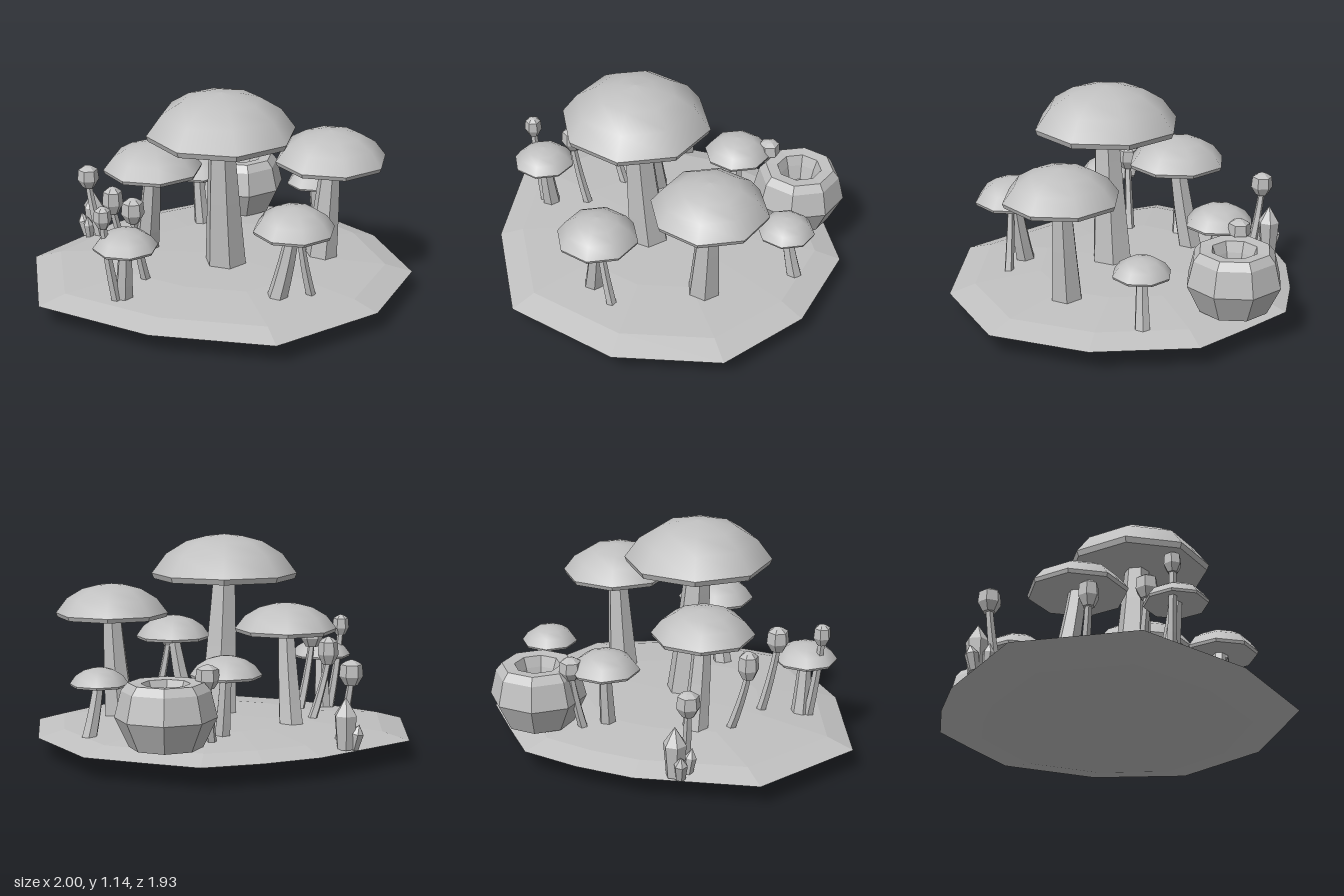
import * as THREE from 'three';

const stone = new THREE.MeshStandardMaterial({ color: 0xc0c0c0 });
stone.name = 'pale grey';

const V = (x, y, z) => new THREE.Vector3(x, y, z);

function flat(geometry) {
  const g = geometry.index ? geometry.toNonIndexed() : geometry;
  g.computeVertexNormals();
  return g;
}

function mesh(name, geometry) {
  const m = new THREE.Mesh(geometry, stone);
  m.name = name;
  return m;
}

// Lathe from [radius, height] pairs, listed from bottom to top
function lathe(profile, sides) {
  return new THREE.LatheGeometry(profile.map(([r, y]) => new THREE.Vector2(r, y)), sides);
}

// Tapered stem that bends from base to tip
function stem(base, tip, rBase, rTip, sides = 6) {
  const mid = V(base.x * 0.35 + tip.x * 0.65, (base.y + tip.y) / 2, base.z * 0.35 + tip.z * 0.65);
  const curve = new THREE.QuadraticBezierCurve3(base, mid, tip);
  const g = new THREE.CylinderGeometry(rTip, rBase, 1, sides, 4);
  const p = g.attributes.position;
  for (let i = 0; i < p.count; i++) {
    const c = curve.getPoint(p.getY(i) + 0.5);
    p.setXYZ(i, p.getX(i) + c.x, c.y, p.getZ(i) + c.z);
  }
  return flat(g);
}

// Mushroom: smooth domed cap, faceted rim and underside, bent stem
function mushroom([x, z, r, rim, top, bx, bz, rBase, rTip]) {
  const group = new THREE.Group();
  group.name = 'mushroom';
  const lip = rim + r * 0.075;
  const h = top - lip;
  const dome = mesh('capTop', lathe(
    [[r, lip], [r * 0.8, lip + h * 0.5], [r * 0.52, lip + h * 0.82], [r * 0.25, lip + h * 0.95], [0, top]], 8));
  const under = mesh('capUnderside', flat(lathe(
    [[0, rim + r * 0.06], [r * 0.93, rim], [r * 0.97, rim], [r, lip]], 8)));
  for (const part of [dome, under]) part.position.set(x, 0, z);
  group.add(dome, under,
    mesh('stem', stem(V(bx, 0.15, bz), V(x, rim + 0.04, z), rBase, rTip)));
  return group;
}

// Closed bud on a thin bent stalk
function sprout([x, z, low, high, r, bx, bz]) {
  const group = new THREE.Group();
  group.name = 'sprout';
  const h = high - low;
  const bud = mesh('bud', flat(lathe(
    [[0, 0], [r * 0.55, 0], [r, h * 0.35], [r * 0.9, h * 0.8], [r * 0.45, h * 0.93], [0, h]], 6)));
  bud.position.set(x, low, z);
  bud.rotation.y = Math.PI / 6;
  group.add(bud, mesh('stalk', stem(V(bx, 0.15, bz), V(x, low + 0.02, z), 0.027, 0.018, 5)));
  return group;
}

// Pointed six-sided crystal
function crystal([x, y, z, r, h, tiltX, tiltZ]) {
  const m = mesh('crystal', flat(lathe([[0, 0], [r * 0.75, 0], [r, h * 0.65], [0, h]], 6)));
  m.position.set(x, y, z);
  m.rotation.set(tiltX, 0, tiltZ);
  return m;
}

// Irregular faceted island
function island() {
  const outline = [[0.09, 0.96], [0.67, 0.71], [1, 0.26], [0.94, -0.26], [0.66, -0.72], [0.36, -0.84],
    [0.09, -0.94], [-0.21, -0.85], [-0.49, -0.72], [-0.97, -0.32], [-1, 0.31], [-0.5, 0.73]];
  const rings = [[0, 0], [0.4, 0.018], [0.75, 0.055], [1, 0.11], [0.86, 0.15], [0.5, 0.18], [0, 0.19]];
  const g = lathe(rings, outline.length);
  const p = g.attributes.position;
  for (let i = 0; i < p.count; i++) {
    const [x, z] = outline[Math.floor(i / rings.length) % outline.length];
    const [s, y] = rings[i % rings.length];
    p.setXYZ(i, x * s, y, z * s);
  }
  return mesh('island', flat(g));
}

export function createModel() {
  const model = new THREE.Group();
  model.name = 'mushroomIsland';
  model.add(island());

  // x, z, cap radius, rim height, top height, stem base x, z, base radius, tip radius
  [
    [-0.02, 0.14, 0.39, 0.9, 1.14, 0.015, 0.09, 0.115, 0.065],
    [0.58, 0.08, 0.3, 0.7, 0.88, 0.54, 0.08, 0.088, 0.05],
    [-0.34, -0.12, 0.265, 0.645, 0.8, -0.37, -0.2, 0.07, 0.045],
    [0.27, 0.545, 0.21, 0.52, 0.655, 0.19, 0.53, 0.055, 0.033],
    [-0.56, 0.41, 0.165, 0.44, 0.54, -0.57, 0.37, 0.05, 0.032],
    [-0.03, -0.51, 0.18, 0.47, 0.58, -0.01, -0.48, 0.045, 0.03],
    [0.61, -0.38, 0.15, 0.405, 0.5, 0.66, -0.41, 0.042, 0.027],
  ].forEach((m) => model.add(mushroom(m)));

  // x, z, bud bottom, bud top, bud radius, stalk base x, z
  [
    [-0.67, 0.41, 0.56, 0.675, 0.046, -0.61, 0.39],
    [-0.5, 0.26, 0.515, 0.65, 0.06, -0.43, 0.21],
    [-0.57, -0.02, 0.46, 0.61, 0.055, -0.48, -0.06],
    [0.3, 0.55, 0.48, 0.59, 0.045, 0.37, 0.53],
    [0.06, -0.66, 0.44, 0.56, 0.06, 0.04, -0.6],
    [-0.65, -0.5, 0.43, 0.56, 0.06, -0.6, -0.47],
  ].forEach((s) => model.add(sprout(s)));

  // Hollow faceted pot
  const pot = mesh('pot', flat(lathe([[0, 0.165], [0.18, 0.165], [0.25, 0.31], [0.218, 0.44],
    [0.185, 0.48], [0.12, 0.475], [0.1, 0.42], [0.08, 0.34], [0, 0.33]], 8)));
  pot.position.set(0.26, 0, -0.72);
  model.add(pot);

  // Crystal cluster: x, y, z, radius, height, tilt about x and z
  [
    [-0.62, 0.12, -0.56, 0.06, 0.26, 0, 0],
    [-0.66, 0.12, -0.56, 0.035, 0.13, -0.15, 0.2],
    [-0.65, 0.12, -0.5, 0.03, 0.14, 0.1, 0.1],
  ].forEach((c) => model.add(crystal(c)));

  return model;
}
